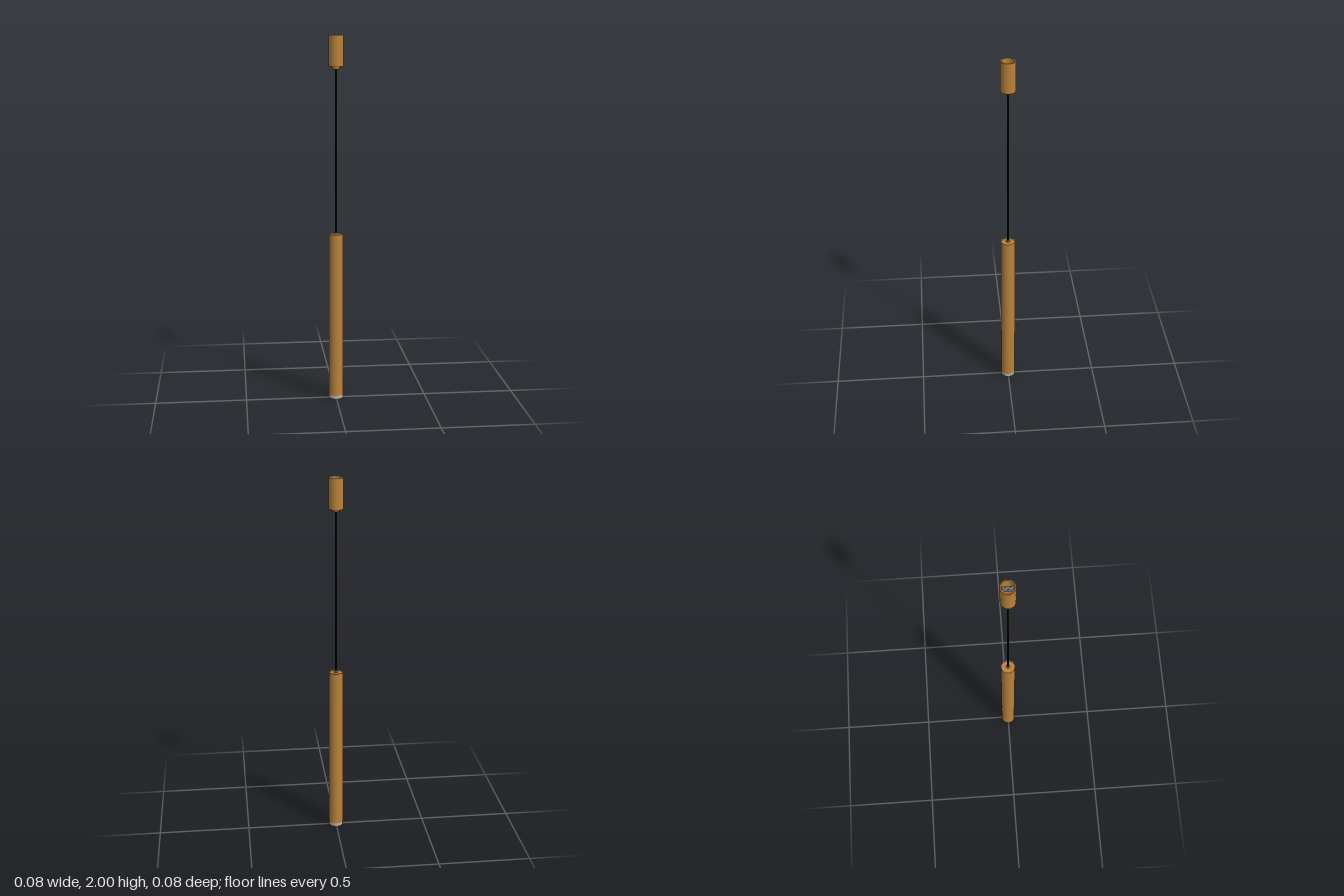
import * as THREE from 'three';

const material = (color) => new THREE.MeshStandardMaterial({ color, side: THREE.DoubleSide });
const brass = material(0xb9823a);
const black = material(0x0c0c0c);
const steel = material(0x77777c);
const lens = material(0xb4b4b8);
const dark = material(0x5a5a5a);

// Turns a profile of [radius, height] pairs; each straight run keeps crisp edges.
function turned(name, profile, mat, segments = 64) {
  const group = new THREE.Group();
  group.name = name;
  for (let i = 0; i < profile.length - 1; i++) {
    const run = [profile[i], profile[i + 1]].map(([r, y]) => new THREE.Vector2(r, y));
    const mesh = new THREE.Mesh(new THREE.LatheGeometry(run, segments), mat);
    mesh.name = name + 'Surface';
    group.add(mesh);
  }
  return group;
}

// Crescent mounting plate with screw holes and an upright curved lip.
function mountingBracket() {
  const group = new THREE.Group();
  group.name = 'mountingBracket';
  const shape = new THREE.Shape();
  shape.moveTo(0.007, -0.03);
  shape.lineTo(0.013, -0.029);
  shape.quadraticCurveTo(0.022, 0, 0.013, 0.029);
  shape.lineTo(0.007, 0.03);
  shape.lineTo(-0.007, 0.014);
  shape.quadraticCurveTo(-0.012, 0, -0.007, -0.014);
  shape.closePath();
  for (const [x, z, rx, rz] of [[0.011, -0.013, 0.002, 0.003], [0.011, 0.013, 0.002, 0.003], [0, 0, 0.002, 0.007]]) {
    const hole = new THREE.Path();
    hole.absellipse(x, z, rx, rz, 0, Math.PI * 2, true);
    shape.holes.push(hole);
  }
  const plate = new THREE.Mesh(
    new THREE.ExtrudeGeometry(shape, { depth: 0.003, bevelEnabled: false, curveSegments: 16 }), steel);
  plate.name = 'bracketPlate';
  plate.rotation.x = Math.PI / 2;
  plate.position.y = 1.975;
  group.add(plate);

  const edge = new THREE.Shape();
  edge.moveTo(0.007, -0.03);
  edge.lineTo(-0.007, -0.014);
  edge.quadraticCurveTo(-0.012, 0, -0.007, 0.014);
  edge.lineTo(0.007, 0.03);
  edge.lineTo(0.009, 0.03);
  edge.lineTo(-0.005, 0.014);
  edge.quadraticCurveTo(-0.01, 0, -0.005, -0.014);
  edge.lineTo(0.009, -0.03);
  const lip = new THREE.Mesh(
    new THREE.ExtrudeGeometry(edge, { depth: 0.012, bevelEnabled: false, curveSegments: 16 }), lens);
  lip.name = 'bracketLip';
  lip.rotation.x = Math.PI / 2;
  lip.position.y = 1.978;
  group.add(lip);
  return group;
}

export function createModel() {
  const model = new THREE.Group();
  model.name = 'pendantLamp';

  // Ceiling cup, open at the top
  model.add(turned('ceilingCup', [
    [0, 1.835], [0.037, 1.835], [0.039, 1.837], [0.039, 2],
    [0.033, 2], [0.033, 1.842], [0, 1.842],
  ], brass));
  model.add(mountingBracket());

  // Cord grip beneath the cup
  model.add(turned('cordGrip', [
    [0.018, 1.836], [0.018, 1.825], [0.015, 1.821], [0, 1.821],
  ], brass, 32));

  // Hanging cord
  const cord = new THREE.Mesh(new THREE.CylinderGeometry(0.005, 0.005, 0.9, 20), black);
  cord.name = 'cord';
  cord.position.y = 1.38;
  model.add(cord);

  // Long lamp tube with a shallow stepped cap and cord collar
  model.add(turned('lampTube', [
    [0.039, 0.02], [0.039, 0.936], [0.033, 0.936], [0.033, 0.932], [0, 0.932],
  ], brass));
  model.add(turned('cordCollar', [
    [0.011, 0.932], [0.011, 0.938], [0.007, 0.942], [0, 0.942],
  ], brass, 32));

  // Diffuser ring and the light face at the bottom
  model.add(turned('diffuserRing', [
    [0.0385, 0.022], [0.0385, 0], [0.035, 0],
  ], lens));
  model.add(turned('lightFace', [[0.035, 0], [0, 0]], dark));

  return model;
}
